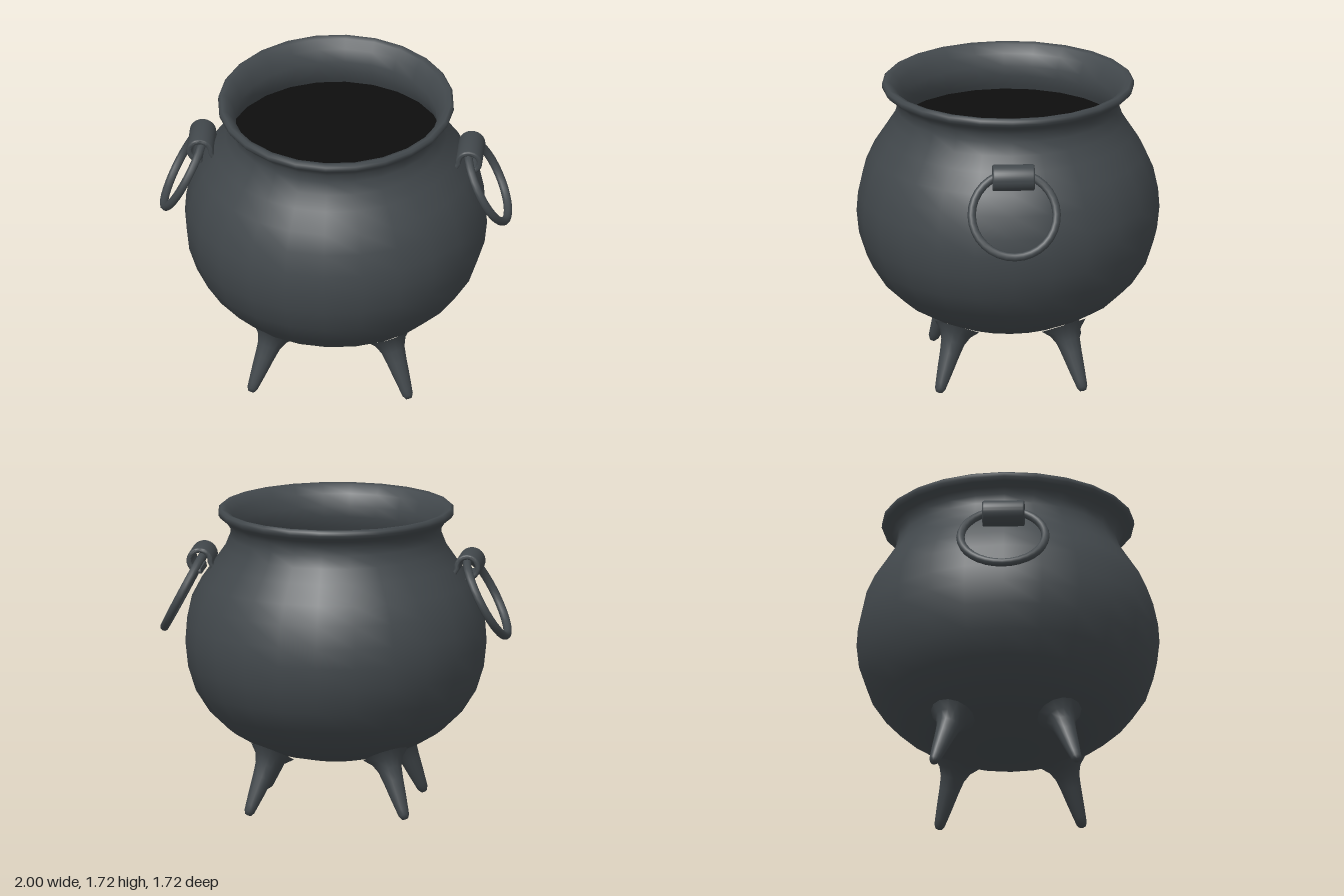
import * as THREE from 'three';
import { toCreasedNormals } from 'three/addons/utils/BufferGeometryUtils.js';

const SIDES = 24;
const iron = new THREE.MeshStandardMaterial({ color: 0x42484c });
const dark = new THREE.MeshStandardMaterial({ color: 0x0e0e0e });

const lathe = (points, sides) =>
  new THREE.LatheGeometry(points.map(([r, y]) => new THREE.Vector2(r, y)), sides);

function add(parent, name, geometry, material = iron) {
  const mesh = new THREE.Mesh(geometry, material);
  mesh.name = name;
  parent.add(mesh);
  return mesh;
}

// The mouth is slightly narrower across x than along z
const narrowing = (y) => 1 - 0.065 * THREE.MathUtils.clamp((y - 1.2) / 0.5, 0, 1);

// Round belly, pinched neck, rolled rim and the inside of the neck
function potGeometry() {
  const geometry = lathe([
    [0, 0.275], [0.2, 0.287], [0.38, 0.33], [0.5, 0.385], [0.61, 0.45], [0.72, 0.555],
    [0.8, 0.68], [0.845, 0.82], [0.859, 0.95], [0.851, 1.06], [0.823, 1.19], [0.775, 1.3],
    [0.705, 1.41], [0.655, 1.49], [0.632, 1.56], [0.635, 1.61], [0.66, 1.645], [0.7, 1.67],
    [0.716, 1.69], [0.715, 1.71], [0.7, 1.723], [0.67, 1.715], [0.63, 1.67], [0.604, 1.6],
    [0.603, 1.54], [0.62, 1.48], [0.65, 1.42],
  ], SIDES);
  const pos = geometry.attributes.position;
  for (let i = 0; i < pos.count; i++) pos.setX(i, pos.getX(i) * narrowing(pos.getY(i)));
  return geometry;
}

// Tapered leg with a rounded tip and a flare that blends into the belly
function legGeometry() {
  return lathe([
    [0, 0], [0.018, 0.004], [0.03, 0.025], [0.035, 0.06], [0.046, 0.14],
    [0.057, 0.23], [0.068, 0.3], [0.09, 0.35], [0.13, 0.39],
  ], 14);
}

// Curled strap, seen along z, whose tail runs into the pot
function strapGeometry() {
  const outer = 0.075, inner = 0.046;
  const from = THREE.MathUtils.degToRad(-100), to = THREE.MathUtils.degToRad(190);
  const shape = new THREE.Shape();
  shape.absarc(0, 0, outer, from, to, false);
  shape.lineTo(-0.1, -0.045);
  shape.lineTo(-0.07, -0.055);
  shape.absarc(0, 0, inner, to, from, true);
  const geometry = new THREE.ExtrudeGeometry(shape, {
    depth: 0.22, curveSegments: 20, bevelEnabled: true,
    bevelThickness: 0.01, bevelSize: 0.01, bevelOffset: -0.01, bevelSegments: 3,
  });
  geometry.translate(0, 0, -0.11);
  return toCreasedNormals(geometry, 0.9);
}

export function createModel() {
  const model = new THREE.Group();
  model.name = 'cauldron';

  add(model, 'pot', potGeometry());

  // Dark contents filling the pot up to the neck
  const contents = add(model, 'contents',
    new THREE.CircleGeometry(0.645, SIDES).rotateX(-Math.PI / 2), dark);
  contents.position.y = 1.45;
  contents.scale.x = narrowing(1.45);

  // Four splayed legs
  const leg = legGeometry();
  const up = new THREE.Vector3(0, 1, 0);
  for (const sx of [-1, 1]) for (const sz of [-1, 1]) {
    const foot = add(model, 'leg', leg);
    foot.position.set(sx * 0.45, 0.005, sz * 0.41);
    const axis = new THREE.Vector3(-sx * 0.13, 0.36, -sz * 0.11).normalize();
    foot.quaternion.setFromUnitVectors(up, axis);
  }

  // Ring handles hanging from straps on both sides
  const strap = strapGeometry();
  const ring = new THREE.TorusGeometry(0.241, 0.024, 10, 32)
    .rotateY(Math.PI / 2).rotateZ(0.48);
  for (const turn of [0, Math.PI]) {
    const handle = new THREE.Group();
    handle.name = turn ? 'rightHandle' : 'leftHandle';
    handle.rotation.y = turn;
    add(handle, 'strap', strap).position.set(0.765, 1.41, 0);
    add(handle, 'ring', ring).position.set(0.865, 1.22, 0);
    model.add(handle);
  }
  return model;
}
